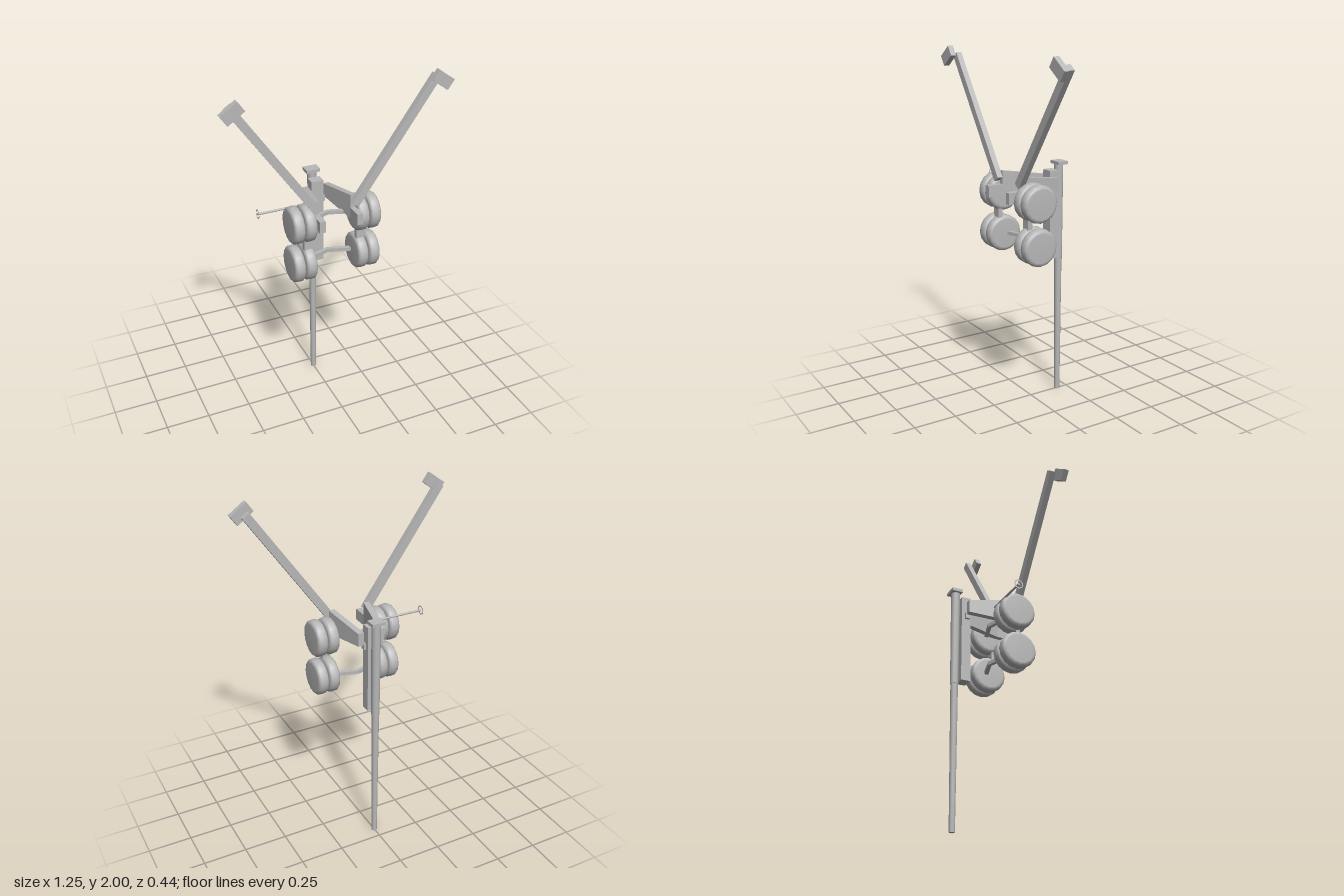
import * as THREE from 'three';

export function createModel() {
  const root = new THREE.Group();
  const grey = new THREE.MeshStandardMaterial({ color: 0xb8b8b8 });
  grey.name = 'plain grey';
  const sheet = new THREE.MeshStandardMaterial({ color: 0xb8b8b8, side: THREE.DoubleSide });
  sheet.name = 'plain grey sheet';

  const add = (name, geometry, x = 0, y = 0, z = 0, material = grey) => {
    const mesh = new THREE.Mesh(geometry, material);
    mesh.name = name;
    mesh.position.set(x, y, z);
    root.add(mesh);
    return mesh;
  };
  // box given by its limits on each axis
  const block = (name, x0, x1, y0, y1, z0, z1) =>
    add(name, new THREE.BoxGeometry(Math.abs(x1 - x0), y1 - y0, z1 - z0),
      (x0 + x1) / 2, (y0 + y1) / 2, (z0 + z1) / 2);
  const polygon = pts => new THREE.Shape(pts.map(p => new THREE.Vector2(...p)));

  // barrel standing muzzle down, with its breech at the top
  const barrelZ = -0.185;
  const tube = (name, rTop, rBottom, y0, y1) =>
    add(name, new THREE.CylinderGeometry(rTop, rBottom, y1 - y0, 12), 0, (y0 + y1) / 2, barrelZ);
  tube('muzzle', 0.017, 0.016, 0, 0.14);
  tube('barrel', 0.021, 0.017, 0.14, 0.81);
  tube('barrelSleeve', 0.026, 0.023, 0.81, 1.37);
  block('breechPlate', -0.04, 0.04, 1.368, 1.386, -0.22, -0.158);

  // cradle and the crosspiece that carries it
  block('cradle', -0.035, 0.035, 0.83, 1.34, -0.16, -0.105);
  block('trunnion', -0.049, 0.049, 1.205, 1.24, -0.14, -0.113);

  // tyre cross-section: radius, half width
  const tyreProfile = [[0, -0.032], [0.082, -0.032], [0.095, -0.028], [0.103, -0.018], [0.105, 0],
    [0.103, 0.018], [0.095, 0.028], [0.082, 0.032], [0, 0.032]].map(p => new THREE.Vector2(...p));
  const tyre = new THREE.LatheGeometry(tyreProfile, 16).rotateZ(-Math.PI / 2);

  // bent axle seen from above
  const axle = new THREE.ExtrudeGeometry(polygon([
    [0, 0.02], [0.19, 0.077], [0.19, 0.102], [0, 0.041], [-0.19, 0.102], [-0.19, 0.077],
  ]), { depth: 0.021, bevelEnabled: false }).rotateX(Math.PI / 2).translate(0, 0.0105, 0);

  for (const y of [1.215, 0.976]) {
    add('axle', axle, 0, y, 0);
    for (const s of [-1, 1]) {
      for (const x of [0.153, 0.221]) add('wheel', tyre, s * x, y, 0.09);
    }
  }

  // tapered side arm, slanting inward to the rear
  const armWidth = 0.034;
  const sideArm = s => {
    const g = new THREE.ExtrudeGeometry(polygon([
      [-0.135, 1.23], [0.127, 1.205], [0.127, 1.345], [-0.135, 1.305],
    ]), { depth: armWidth, bevelEnabled: false }).rotateY(-Math.PI / 2).translate(armWidth / 2, 0, 0);
    const p = g.attributes.position;
    for (let i = 0; i < p.count; i++) {
      const t = (p.getZ(i) + 0.135) / 0.262;
      p.setX(i, p.getX(i) + s * (0.063 + 0.045 * t));
    }
    g.computeVertexNormals();
    return g;
  };

  const tilt = 0.61;
  const legStart = new THREE.Vector2(0.108, 1.297);
  const legEnd = new THREE.Vector2(0.565, 1.95);
  const legLength = legStart.distanceTo(legEnd);
  for (const s of [-1, 1]) {
    add('sideArm', sideArm(s));
    block('armFoot', s * 0.091, s * 0.125, 1.205, 1.27, 0.127, 0.215);
    block('wheelLink', s * 0.13, s * 0.18, 0.98, 1.21, 0.105, 0.131);

    // spread trail leg with its spade
    const leg = add('trailLeg', new THREE.BoxGeometry(0.045, legLength, 0.033),
      s * (legStart.x + legEnd.x) / 2, (legStart.y + legEnd.y) / 2, 0.142);
    leg.rotation.z = -s * tilt;
    const spade = add('spade', new THREE.BoxGeometry(0.11, 0.064, 0.032), s * 0.564, 1.944, 0.2);
    spade.rotation.z = -s * tilt;
  }

  // handwheel on its shaft, on one side only
  add('handwheelShaft', new THREE.CylinderGeometry(0.0065, 0.0065, 0.332, 8).rotateZ(Math.PI / 2),
    -0.229, 1.28, 0.012);
  add('handwheel', new THREE.RingGeometry(0.02, 0.027, 16).rotateY(-Math.PI / 2),
    -0.395, 1.28, 0.012, sheet);

  return root;
}
